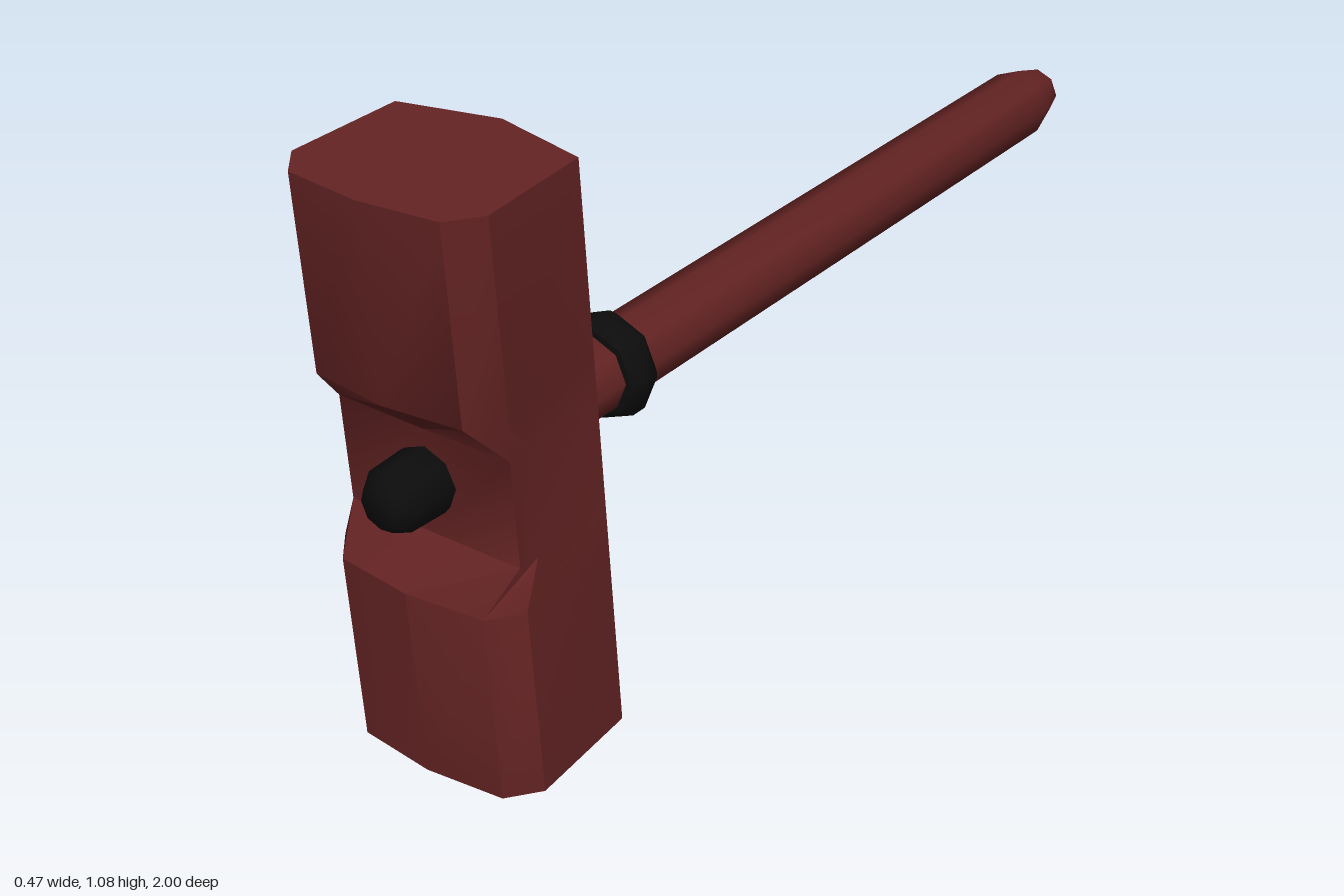
import * as THREE from 'three';
import { toCreasedNormals } from 'three/addons/utils/BufferGeometryUtils.js';

// Mirror the right half [x, z] of a section (back ridge to front centre) into a full ring
function ring(half) {
  const inner = half.slice(1, -1).reverse().map(([x, z]) => [-x, z]);
  return [...half, ...inner];
}

// Loft rings of equal length up the y axis and close both ends
function loft(levels) {
  const n = levels[0].pts.length;
  const pos = levels.flatMap(({ y, pts }) => pts.flatMap(([x, z]) => [x, y, z]));
  const index = [];
  for (let l = 0; l < levels.length - 1; l++) {
    for (let i = 0; i < n; i++) {
      const a = l * n + i, b = l * n + (i + 1) % n, c = a + n, d = b + n;
      index.push(a, c, b, b, c, d);
    }
  }
  const top = (levels.length - 1) * n;
  for (let i = 1; i < n - 1; i++) {
    index.push(0, i, i + 1, top, top + i + 1, top + i);
  }
  const g = new THREE.BufferGeometry();
  g.setAttribute('position', new THREE.Float32BufferAttribute(pos, 3));
  g.setIndex(index);
  return toCreasedNormals(g, 0.72);
}

// Eight-sided turned part along z, from [radius, z] points
function turned(profile, crease = 0.9) {
  const pts = profile.map(([r, z]) => new THREE.Vector2(r, z));
  const g = new THREE.LatheGeometry(pts, 8);
  g.rotateX(Math.PI / 2);
  return toCreasedNormals(g, crease);
}

function part(name, geometry, material) {
  const mesh = new THREE.Mesh(geometry, material);
  mesh.name = name;
  return mesh;
}

export function createModel() {
  const red = new THREE.MeshStandardMaterial({ color: 0x642323 });
  red.name = 'darkRed';
  const black = new THREE.MeshStandardMaterial({ color: 0x0c0c0c });
  black.name = 'black';

  const model = new THREE.Group();
  model.name = 'hammer';

  // Head: ridged back, chamfered front, notched across the middle of the front
  const full = ring([[0, -0.156], [0.187, -0.115], [0.198, 0.1], [0.152, 0.153], [0, 0.168]]);
  const notch = ring([[0, -0.156], [0.187, -0.115], [0.184, 0.05], [0.18, 0.088], [0, 0.09]]);
  const head = part('head', loft([
    { y: -0.532, pts: full },
    { y: -0.172, pts: full },
    { y: -0.1, pts: notch },
    { y: 0.098, pts: notch },
    { y: 0.18, pts: full },
    { y: 0.532, pts: full },
  ]), red);
  head.position.set(0.022, 0.54, 0.795);
  head.rotation.set(0.038, 0.11, 0.005);
  model.add(head);

  // Shaft assembly, turned slightly to one side
  const shaft = new THREE.Group();
  shaft.name = 'shaft';
  shaft.position.set(-0.065, 0.542, 0);
  shaft.rotation.y = 0.11;
  model.add(shaft);

  shaft.add(part('handle', turned([
    [0, -1], [0.048, -1], [0.072, -0.92], [0.071, 0.75], [0, 0.75],
  ]), red));

  shaft.add(part('collar', turned([
    [0.06, 0.412], [0.083, 0.412], [0.098, 0.43], [0.098, 0.462], [0.083, 0.48], [0.06, 0.48],
  ]), black));

  // Rounded end of the shaft showing through the notch
  shaft.add(part('endCap', turned([
    [0, 0.84], [0.05, 0.84], [0.061, 0.9], [0.058, 0.975], [0.038, 1.0], [0, 1.004],
  ], 1.1), black));

  return model;
}
